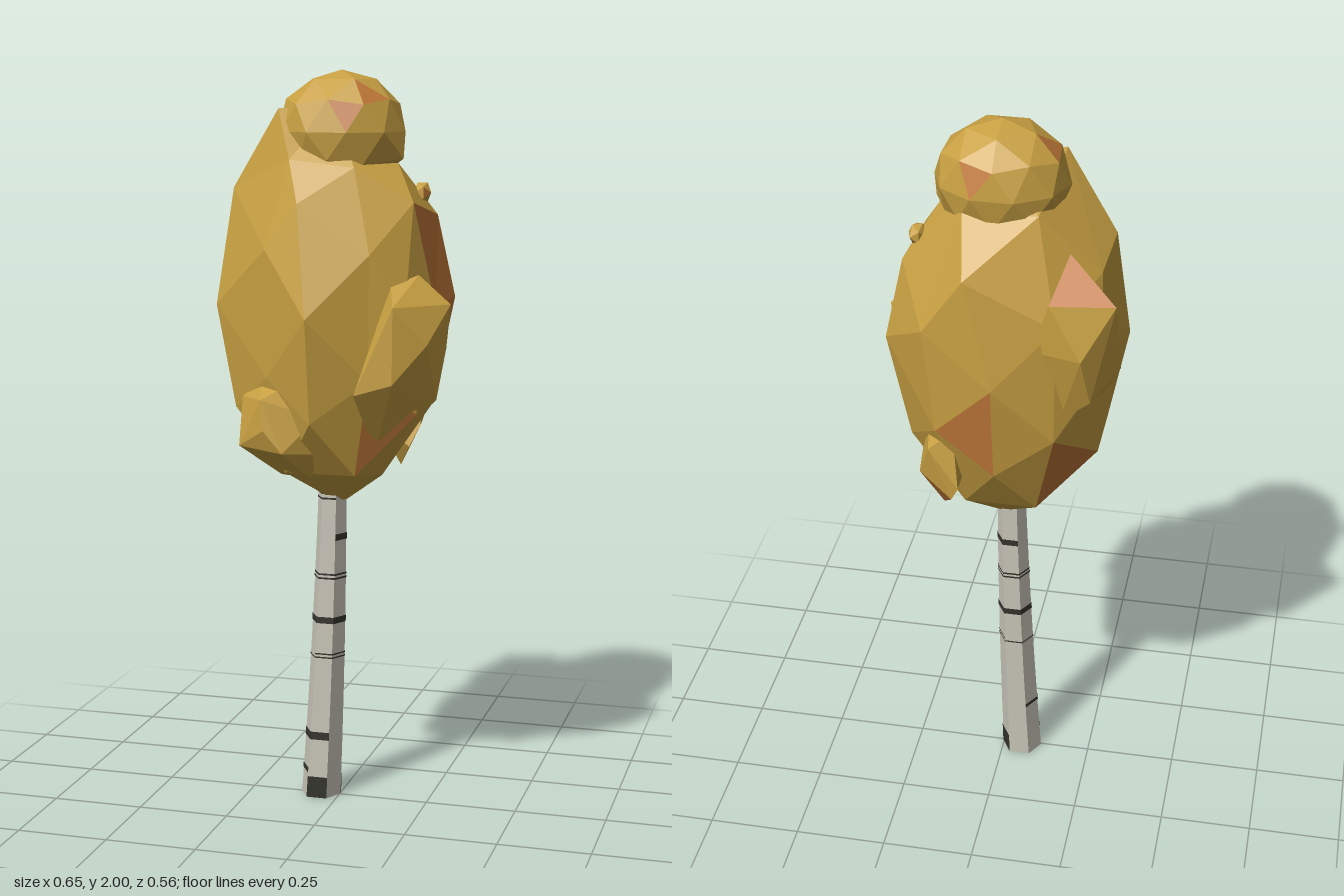
import * as THREE from 'three';
import { ConvexGeometry } from 'three/addons/geometries/ConvexGeometry.js';

const flat = (name, color) => {
  const m = new THREE.MeshStandardMaterial({ color, flatShading: true });
  m.name = name;
  return m;
};

const vec = (p) => new THREE.Vector3(...p);

// Read the triangle corners of a geometry
const cornersOf = (geo) => Array.from({ length: geo.attributes.position.count },
  (_, i) => new THREE.Vector3().fromBufferAttribute(geo.attributes.position, i));

// Rounded clump: a faceted ball whose corners are moved by [from, to] pairs
function ball({ at, size, detail = 0, tilt = 0, spin = 0, moves = [] }) {
  const geo = new THREE.IcosahedronGeometry(1, detail);
  geo.rotateZ(tilt).rotateY(spin).scale(...size).translate(...at);
  const start = cornersOf(geo);
  for (const [from, to] of moves) {
    const target = vec(from);
    const nearest = start.reduce((a, b) => (b.distanceTo(target) < a.distanceTo(target) ? b : a));
    start.forEach((c, i) => {
      if (c.distanceTo(nearest) < 1e-4) geo.attributes.position.setXYZ(i, ...to);
    });
  }
  return geo;
}

// Angular clump: the hull of a few corner points
const rock = (points) => new ConvexGeometry(points.map(vec));

// Leaf mesh; the facet nearest to each accent point takes the second material
function clump(name, mats, geo, accents = []) {
  const corners = cornersOf(geo);
  const centres = [];
  for (let i = 0; i < corners.length; i += 3) {
    centres.push(corners[i].clone().add(corners[i + 1]).add(corners[i + 2]).divideScalar(3));
  }
  const painted = accents.map((p) => {
    const d = centres.map((c) => c.distanceTo(vec(p)));
    return d.indexOf(Math.min(...d));
  });
  geo.clearGroups();
  centres.forEach((_, f) => geo.addGroup(f * 3, 3, painted.includes(f) ? 1 : 0));
  geo.computeVertexNormals();
  const mesh = new THREE.Mesh(geo, mats);
  mesh.name = name;
  return mesh;
}

// Leaning, tapering six-sided trunk
const trunkRadius = (y) => 0.056 - 0.018 * (y / 0.95);
const trunkX = (y) => -0.054 + 0.056 * y - 0.02 * y * y;

function trunkSection(name, mat, y0, y1, grow = 0, first = 0, count = 6, open = true) {
  const geo = new THREE.CylinderGeometry(1, 1, y1 - y0, count, open ? 1 : 6, open,
    (first - 0.5) * Math.PI / 3, count * Math.PI / 3);
  geo.translate(0, (y0 + y1) / 2, 0);
  const pos = geo.attributes.position;
  for (let i = 0; i < pos.count; i++) {
    const y = pos.getY(i), r = trunkRadius(y) + grow;
    pos.setXYZ(i, pos.getX(i) * r + trunkX(y), y, pos.getZ(i) * r - 0.003);
  }
  geo.computeVertexNormals();
  const mesh = new THREE.Mesh(geo, mat);
  mesh.name = name;
  return mesh;
}

export function createModel() {
  const bark = flat('pale bark', 0xc8c4b8);
  const mark = flat('dark bark', 0x34332d);
  mark.side = THREE.DoubleSide;
  const leaves = [flat('golden leaves', 0xc8a042), flat('orange leaves', 0xc07838)];

  const tree = new THREE.Group();
  tree.name = 'autumnBirch';

  const trunk = new THREE.Group();
  trunk.name = 'trunk';
  trunk.add(trunkSection('trunkCore', bark, 0, 0.95, 0, 0, 6, false));
  // Bark marks: bottom, top, first side, number of sides (side 0 faces front)
  [
    [0.0, 0.06, 0, 1], [0.0, 0.06, 2, 1],
    [0.07, 0.085, 5, 1],
    [0.168, 0.19, 5, 2], [0.172, 0.182, 4, 1],
    [0.403, 0.407, 0, 6], [0.413, 0.417, 0, 3],
    [0.502, 0.52, 0, 6],
    [0.627, 0.632, 0, 6], [0.638, 0.643, 0, 6],
    [0.736, 0.754, 1, 3],
    [0.85, 0.855, 5, 2], [0.865, 0.87, 5, 2],
  ].forEach(([y0, y1, first, count]) =>
    trunk.add(trunkSection('barkMark', mark, y0, y1, 0.0015, first, count)));
  tree.add(trunk);

  const crown = new THREE.Group();
  crown.name = 'crown';
  crown.add(
    clump('mainCrown', leaves, ball({
      at: [-0.015, 1.37, 0], size: [0.31, 0.53, 0.28], detail: 1,
      moves: [
        // top, with its peak pushed to one side
        [[-0.178, 1.82, 0], [-0.15, 1.9, 0.06]], [[-0.11, 1.8, 0.14], [-0.1, 1.77, 0.13]],
        [[0.148, 1.82, 0], [0.16, 1.76, 0]], [[0.08, 1.8, 0.14], [0.07, 1.75, 0.11]],
        // shoulders
        [[-0.266, 1.635, 0.087], [-0.285, 1.69, 0.03]], [[0.236, 1.635, 0.087], [0.22, 1.66, 0.07]],
        [[0.236, 1.635, -0.087], [0.25, 1.62, -0.08]], [[-0.015, 1.65, 0.238], [-0.06, 1.66, 0.195]],
        [[0.14, 1.535, 0.227], [0.13, 1.53, 0.18]], [[-0.17, 1.535, 0.227], [-0.15, 1.54, 0.19]],
        [[-0.015, 1.65, -0.238], [0.06, 1.66, -0.255]], [[0.14, 1.535, -0.227], [0.17, 1.5, -0.235]],
        // waist
        [[0.25, 1.37, -0.147], [0.295, 1.4, -0.1]], [[0.295, 1.37, 0], [0.27, 1.38, 0.02]],
        [[0.25, 1.37, 0.147], [0.215, 1.37, 0.14]], [[-0.28, 1.37, 0.147], [-0.32, 1.38, 0.08]],
        [[-0.325, 1.37, 0], [-0.29, 1.38, -0.01]],
        // underside
        [[-0.17, 1.2, 0.227], [-0.15, 1.2, 0.18]], [[0.14, 1.2, 0.227], [0.13, 1.2, 0.19]],
        [[-0.178, 0.92, 0], [-0.14, 0.93, 0]], [[0.148, 0.92, 0], [0.12, 0.92, 0]],
        [[-0.015, 0.84, 0], [0, 0.832, -0.01]],
      ],
    }), [[0.272, 1.467, -0.053], [0.247, 1.55, 0], [0.267, 1.29, -0.055], [0.15, 1.08, 0.14],
      [0.04, 1.22, -0.25], [-0.18, 1.08, -0.15]]),
    clump('topClump', leaves, ball({
      at: [0, 1.84, -0.022], size: [0.175, 0.16, 0.152], detail: 1, tilt: -0.5536, spin: 0.3,
      moves: [[[0.16, 1.78, 0], [0.175, 1.77, 0]]],
    }), [[0.07, 1.92, -0.13], [-0.1, 1.94, -0.03], [0.09, 1.92, 0.05], [0.02, 1.9, 0.11]]),
    clump('frontLowClump', leaves, rock([
      [-0.18, 1.19, 0.12], [-0.08, 1.19, 0.15], [-0.235, 1.14, 0.12], [-0.24, 1.0, 0.1],
      [-0.22, 1.02, 0.2], [-0.15, 1.15, 0.235], [-0.14, 1.07, 0.245], [-0.09, 1.01, 0.24],
      [-0.01, 1.1, 0.18], [0, 1.0, 0.16], [-0.04, 0.93, 0.14], [-0.13, 0.93, 0.11], [-0.12, 1.1, 0.02],
    ])),
    clump('sideClump', leaves, rock([
      [0.24, 1.475, 0.09], [0.18, 1.45, 0.15], [0.325, 1.4, 0.085], [0.27, 1.4, 0.01],
      [0.2, 1.4, 0.21], [0.28, 1.3, 0.165], [0.29, 1.27, -0.02], [0.28, 1.14, 0.05],
      [0.2, 1.2, 0.215], [0.1, 1.17, 0.225], [0.13, 1.0, 0.11], [0.12, 1.3, 0.08],
    ])),
    clump('backLowClump', leaves, rock([
      [0.18, 1.18, -0.11], [0.1, 1.19, -0.2], [0.16, 1.15, -0.23], [0.19, 1.06, -0.2],
      [0.21, 1.05, -0.07], [0.08, 1.04, -0.24], [0.1, 1.0, -0.23], [0.18, 0.99, -0.06],
      [0.14, 0.925, -0.13], [0.08, 1.05, -0.1],
    ]), [[0.14, 0.99, -0.19]]),
    clump('backHighClump', leaves, rock([
      [-0.19, 1.7, -0.13], [-0.32, 1.61, -0.22], [-0.155, 1.61, -0.245], [-0.24, 1.47, -0.265],
      [-0.325, 1.39, -0.13], [-0.3, 1.5, -0.05], [-0.11, 1.47, -0.23], [-0.29, 1.31, -0.1],
      [-0.18, 1.26, -0.2], [-0.26, 1.33, -0.22], [-0.15, 1.45, -0.08],
    ]), [[-0.222, 1.64, -0.198]]),
    clump('twigLeaf', leaves, ball({
      at: [0.215, 1.68, -0.05], size: [0.025, 0.03, 0.035], spin: 0.4,
    }), [[0.23, 1.67, -0.03]]),
  );
  tree.add(crown);
  return tree;
}
